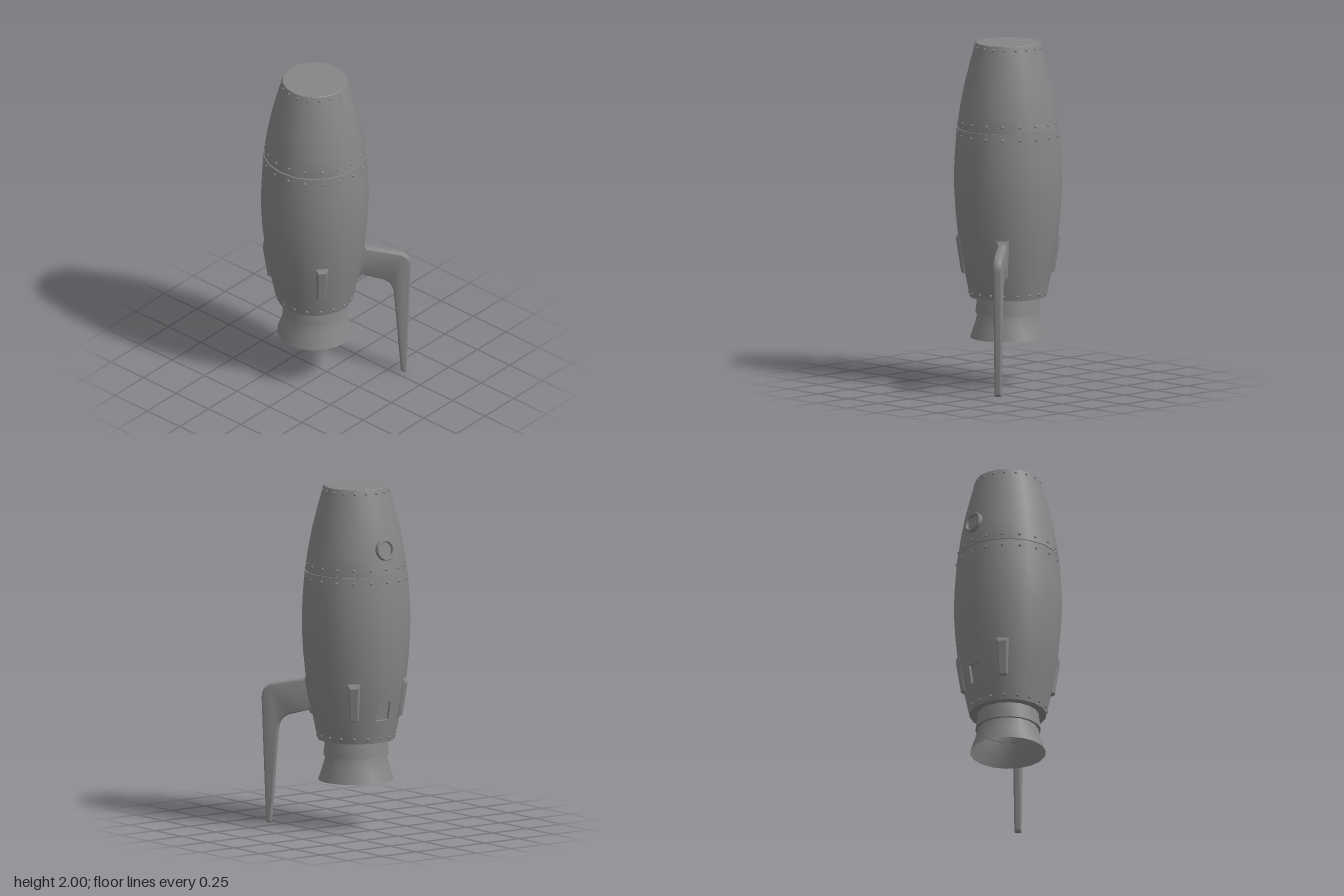
import * as THREE from 'three';
import { mergeGeometries, toCreasedNormals } from 'three/addons/utils/BufferGeometryUtils.js';
import { ConvexGeometry } from 'three/addons/geometries/ConvexGeometry.js';

const SIDES = 18;
const GREY = 0x868686;
const material = new THREE.MeshStandardMaterial({ color: GREY });
const thin = new THREE.MeshStandardMaterial({ color: GREY, side: THREE.DoubleSide });
const inward = new THREE.MeshStandardMaterial({ color: GREY, side: THREE.BackSide });

function part(name, geometry, mat = material) {
  const mesh = new THREE.Mesh(geometry, mat);
  mesh.name = name;
  return mesh;
}

function lathe(points, sides = SIDES) {
  const profile = points.map(([r, y]) => new THREE.Vector2(r, y));
  return new THREE.LatheGeometry(profile, sides, Math.PI / 2);
}

const smooth = (geometry) => toCreasedNormals(geometry, 0.5);

// Group whose local +z points outward from the hull at an angle in degrees
function facing(name, degrees, ...children) {
  const group = new THREE.Group();
  group.name = name;
  group.rotation.y = THREE.MathUtils.degToRad(degrees);
  group.add(...children);
  return group;
}

// Remove the one hull face that sits over the rear hatch
function cutHatch(geometry, y0, y1) {
  const pos = geometry.attributes.position;
  const index = [...geometry.index.array];
  const kept = [];
  for (let i = 0; i < index.length; i += 3) {
    const tri = index.slice(i, i + 3);
    const inside = tri.every((v) => pos.getZ(v) < -0.2 && Math.abs(pos.getX(v)) < 0.06
      && pos.getY(v) > y0 - 0.001 && pos.getY(v) < y1 + 0.001);
    if (!inside) kept.push(...tri);
  }
  geometry.setIndex(kept);
  return geometry;
}

// One row of rivets, one on the middle of every hull face
function rivetRow(name, y, radius) {
  const rivets = [];
  for (let i = 0; i < SIDES; i++) {
    rivets.push(new THREE.SphereGeometry(0.01, 8, 6)
      .translate(0, y, radius * Math.cos(Math.PI / SIDES))
      .rotateY((i / SIDES) * Math.PI * 2));
  }
  return part(name, mergeGeometries(rivets));
}

// Tapered plate where a fin joins the hull, with a wide slope at its top
function finMount() {
  const section = (low, lowHalf, high, highHalf, z) => [-1, 1].flatMap((s) => [
    new THREE.Vector3(s * lowHalf, low, z), new THREE.Vector3(s * highHalf, high, z),
  ]);
  const plate = new ConvexGeometry([
    ...section(-0.115, 0.026, 0.115, 0.04, -0.01),
    ...section(-0.114, 0.025, 0.113, 0.038, 0.004),
    ...section(-0.105, 0.018, 0.09, 0.024, 0.019),
  ]);
  const mesh = part('finMountPlate', plate);
  mesh.position.set(0, 0.765, 0.268);
  mesh.rotation.x = 0.15;
  return mesh;
}

// Bent landing fin with rounded edges, thinner towards its foot
function finGeometry() {
  const s = new THREE.Shape();
  s.moveTo(0.25, 0.865);
  s.lineTo(0.29, 0.858);
  s.lineTo(0.475, 0.825);
  s.bezierCurveTo(0.53, 0.815, 0.557, 0.79, 0.556, 0.73);
  s.lineTo(0.531, 0.025);
  s.quadraticCurveTo(0.53, 0.002, 0.514, 0.002);
  s.quadraticCurveTo(0.498, 0.002, 0.497, 0.025);
  s.lineTo(0.459, 0.54);
  s.bezierCurveTo(0.455, 0.6, 0.43, 0.635, 0.38, 0.645);
  s.lineTo(0.25, 0.68);
  const g = new THREE.ExtrudeGeometry(s, {
    depth: 0.024, curveSegments: 8,
    bevelThickness: 0.014, bevelSize: 0.01, bevelOffset: -0.01, bevelSegments: 3,
  }).translate(0, 0, -0.012);
  const pos = g.attributes.position;
  for (let i = 0; i < pos.count; i++) {
    const t = THREE.MathUtils.clamp(pos.getY(i) / 0.7, 0, 1);
    pos.setZ(i, pos.getZ(i) * (0.78 + 0.22 * t));
  }
  return toCreasedNormals(g.rotateY(-Math.PI / 2), 0.7);
}

export function createModel() {
  const model = new THREE.Group();
  const rocket = new THREE.Group();
  rocket.name = 'rocket';
  rocket.position.set(-0.03, 0, -0.065);
  model.add(rocket);

  // Hull: lower and upper shells meeting at a fine groove
  const lower = lathe([
    [0, 0.515], [0.223, 0.515], [0.251, 0.65], [0.272, 0.76], [0.292, 0.88], [0.306, 1.02],
    [0.313, 1.14], [0.314, 1.24], [0.309, 1.35], [0.2975, 1.5], [0.289, 1.5],
  ]);
  rocket.add(part('lowerHull', smooth(cutHatch(lower, 0.65, 0.76))));
  rocket.add(part('upperHull', smooth(lathe([
    [0.289, 1.5], [0.289, 1.506], [0.2955, 1.506], [0.279, 1.62], [0.254, 1.75],
    [0.224, 1.87], [0.189, 1.997], [0.186, 2], [0, 2],
  ]))));

  // Engine: neck collar around an open bell that runs up to the hull
  rocket.add(part('engineNeck', smooth(lathe([[0.17, 0.42], [0.19, 0.42], [0.178, 0.52]]))));
  rocket.add(part('engineBell', smooth(lathe([
    [0.22, 0.275], [0.194, 0.35], [0.174, 0.425], [0.165, 0.518],
  ])), thin));

  // Rivets
  [['topRivets', 1.975, 0.192], ['upperSeamRivets', 1.54, 0.288],
    ['lowerSeamRivets', 1.465, 0.298], ['bottomRivets', 0.542, 0.227]]
    .forEach((row) => rocket.add(rivetRow(...row)));

  // Rear porthole
  const ring = part('portholeRing', smooth(lathe([
    [0.062, -0.02], [0.062, 0.015], [0.058, 0.02], [0.05, 0.02], [0.046, 0.015], [0.046, -0.02],
  ], 24).rotateX(Math.PI / 2)));
  const pane = part('portholePane', new THREE.CircleGeometry(0.048, 24).translate(0, 0, 0.003));
  const porthole = new THREE.Group();
  porthole.name = 'porthole';
  porthole.add(ring, pane);
  porthole.position.set(0, 1.653, 0.269);
  porthole.rotation.x = -0.17;
  rocket.add(facing('portholeMount', 180, porthole));

  // Rear hatch: a shallow recess lined by inward-facing walls
  const recess = part('hatchRecess', new THREE.BoxGeometry(0.092, 0.113, 0.016).translate(0, 0, -0.008), inward);
  recess.position.set(0, 0.705, 0.2575);
  recess.rotation.x = 0.19;
  rocket.add(facing('hatch', 180, recess));

  // Four fin mounts, one carrying the fin
  for (const angle of [40, 140, 220, 320]) rocket.add(facing('finMount', angle, finMount()));
  rocket.add(facing('fin', 40, part('landingFin', finGeometry())));

  return model;
}
